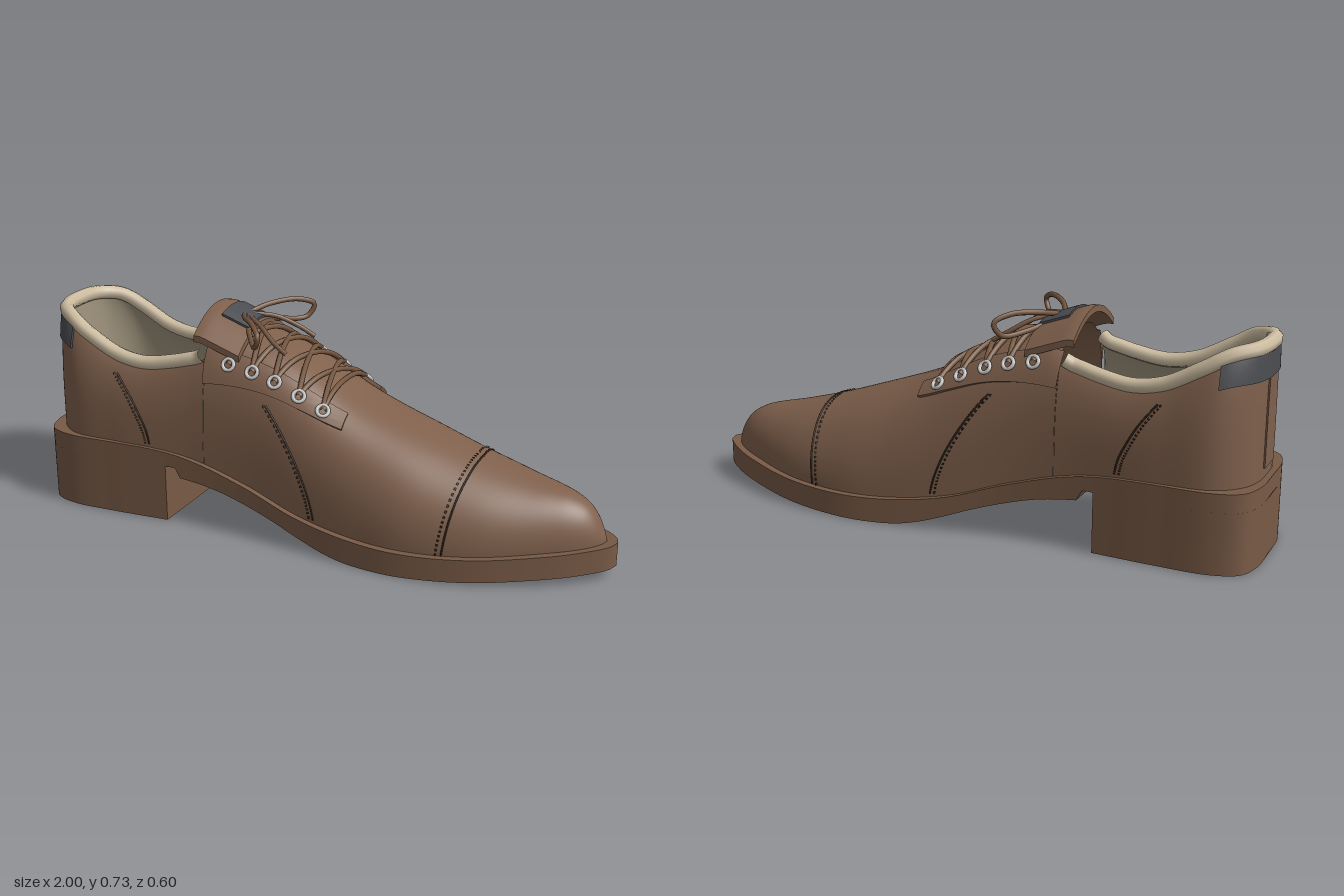
import * as THREE from 'three';
import { mergeGeometries, toCreasedNormals } from 'three/addons/utils/BufferGeometryUtils.js';

const V = (x, y, z) => new THREE.Vector3(x, y, z);
const { lerp, clamp } = THREE.MathUtils;
const mat = (name, color, side = THREE.FrontSide) =>
  Object.assign(new THREE.MeshStandardMaterial({ color, side }), { name });

// Smooth curve through 2D points, running from high x to low x
function smooth(pts) {
  const N = 500;
  const s = new THREE.CatmullRomCurve3(pts.map(p => V(p[0], p[1], 0)), false, 'centripetal').getSpacedPoints(N);
  const at = t => {
    const f = clamp(t, 0, 1) * N, i = Math.min(N - 1, Math.floor(f));
    return s[i].clone().lerp(s[i + 1], f - i);
  };
  const tAt = x => {
    if (x >= s[0].x) return 0;
    for (let i = 0; i < N; i++) if (s[i + 1].x <= x) return (i + (s[i].x - x) / (s[i].x - s[i + 1].x || 1)) / N;
    return 1;
  };
  return { at, tAt, y: x => at(tAt(x)).y };
}

// Plan outlines (x, half width) and side profiles (x, height)
const soleLine = smooth([[1, 0], [0.985, 0.04], [0.9, 0.115], [0.8, 0.175], [0.6, 0.26], [0.38, 0.3], [0.2, 0.29],
  [0, 0.265], [-0.2, 0.243], [-0.45, 0.236], [-0.7, 0.25], [-0.88, 0.25], [-0.965, 0.215], [-0.998, 0.13], [-1, 0]]);
const upperLine = smooth([[0.965, 0], [0.95, 0.035], [0.9, 0.085], [0.8, 0.145], [0.6, 0.235], [0.38, 0.275], [0.2, 0.266],
  [0, 0.243], [-0.2, 0.222], [-0.4, 0.218], [-0.7, 0.235], [-0.87, 0.225], [-0.95, 0.16], [-0.978, 0.08], [-0.982, 0]]);
const soleTop = smooth([[1, 0.115], [0.8, 0.1], [0.6, 0.086], [0.4, 0.08], [0.2, 0.085], [0, 0.115], [-0.2, 0.18],
  [-0.4, 0.235], [-0.55, 0.255], [-1, 0.26]]);
const soleBottom = smooth([[1, 0.035], [0.8, 0.022], [0.5, 0.004], [0.2, 0.001], [0.1, 0.018], [0, 0.05], [-0.1, 0.087],
  [-0.3, 0.145], [-0.46, 0.167], [-1, 0.2]]);
const ridge = smooth([[0.965, 0.114], [0.95, 0.15], [0.93, 0.19], [0.9, 0.225], [0.85, 0.253], [0.8, 0.268], [0.7, 0.29],
  [0.55, 0.33], [0.4, 0.378], [0.2, 0.445], [0.1, 0.487], [0, 0.542], [-0.1, 0.595], [-0.2, 0.633], [-0.3, 0.658], [-0.4, 0.67]]);
const rim = smooth([[-0.3, 0.6], [-0.4, 0.572], [-0.5, 0.546], [-0.6, 0.532], [-0.7, 0.55], [-0.8, 0.6], [-0.9, 0.65], [-0.99, 0.662]]);

// Upper surface: t runs along the outline from toe to heel, v from the welt up
const MOUTH = -0.36;
function point(t, v) {
  const p = upperLine.at(t), x = p.x, back = x < MOUTH;
  const n = lerp(3.2, 2.1, THREE.MathUtils.smoothstep(x, -0.15, 0.55));
  const aMax = back ? Math.acos(Math.pow(0.8, n / 2)) : Math.PI / 2;
  const a = clamp(v, 0, 1) * aMax, base = soleTop.y(x) - 0.005;
  const top = back ? rim.y(x) : ridge.y(x), pw = 2 / n;
  return V(x, base + (top - base) * Math.pow(Math.sin(a) / Math.sin(aMax), pw),
    p.y * Math.pow(Math.max(0, Math.cos(a)), pw));
}
function normal(t, v) {
  const e = 0.004;
  const du = point(Math.min(1, t + e), v).sub(point(Math.max(0, t - e), v));
  const dv = point(t, Math.min(1, v + e)).sub(point(t, Math.max(0, v - e)));
  return dv.cross(du).normalize();
}
function skin(t, v, off = 0, side = 1) {
  const p = point(t, v);
  if (off) p.addScaledVector(normal(t, v), off);
  p.z *= side;
  return p;
}
const skinX = (x, v, off, side) => skin(upperLine.tAt(x), v, off, side);

function grid(fn, nu, nv, flip = false) {
  const pos = [], idx = [];
  for (let i = 0; i <= nu; i++) for (let j = 0; j <= nv; j++) pos.push(...fn(i / nu, j / nv).toArray());
  for (let i = 0; i < nu; i++) for (let j = 0; j < nv; j++) {
    const a = i * (nv + 1) + j, b = a + nv + 1, c = a + 1, d = b + 1;
    idx.push(...(flip ? [a, b, c, c, b, d] : [a, c, b, c, d, b]));
  }
  const g = new THREE.BufferGeometry();
  g.setAttribute('position', new THREE.Float32BufferAttribute(pos, 3));
  g.setIndex(idx);
  g.computeVertexNormals();
  return g;
}
// Raised panel on the upper with edges that drop to the surface
function panel(fn, nu, nv, off, side) {
  const U = nu + 2, W = nv + 2;
  return toCreasedNormals(grid((u, v) => {
    const i = Math.round(u * U), j = Math.round(v * W);
    const edge = i === 0 || j === 0 || i === U || j === W;
    return fn(clamp((i - 1) / nu, 0, 1), clamp((j - 1) / nv, 0, 1), edge ? 0 : off);
  }, U, W, side < 0), 0.7);
}
// Closed slab following the sole outline
function slab(t0, bottom, top, n, capped) {
  return toCreasedNormals(grid((u, v) => {
    const p = soleLine.at(lerp(t0, 1, Math.max(0, (u * n - 1) / (n - 1)))), k = Math.round(v * 4) % 4;
    const lo = bottom(p.x), hi = top(p.x);
    if (u === 0 && capped) return V(p.x, (lo + hi) / 2, 0);
    return V(p.x, k === 1 || k === 2 ? hi : lo, k < 2 ? p.y : -p.y);
  }, n, 4), 0.6);
}
const tube = (pts, r, n = 40, closed = false) =>
  new THREE.TubeGeometry(new THREE.CatmullRomCurve3(pts, closed), n, r, 8, closed);

export function createModel() {
  const shoe = new THREE.Group();
  shoe.name = 'shoe';
  const leather = mat('brown leather', 0x7f604c), inside = mat('open leather', 0x7f604c, THREE.DoubleSide);
  const soleMat = mat('sole brown', 0x785a46), laceMat = mat('lace brown', 0x75563f);
  const lining = mat('beige lining', 0xa2967f, THREE.DoubleSide), collarMat = mat('cream collar', 0xccbca0);
  const tabMat = mat('dark grey', 0x4c4d52), metal = mat('silver', 0xc6c6c6), thread = mat('dark thread', 0x30231b);
  const add = (name, g, m) => {
    const mesh = new THREE.Mesh(g, m);
    mesh.name = name;
    shoe.add(mesh);
    return mesh;
  };

  // Sole and heel block
  add('sole', slab(0, x => (x < -0.46 ? 0.2 : soleBottom.y(x)), x => soleTop.y(x), 120, false), soleMat);
  add('heel', slab(soleLine.tAt(-0.5), () => 0, () => 0.2, 60, true), soleMat);

  // Closed front and open back of the upper
  const tm = upperLine.tAt(MOUTH + 0.0005), tb = upperLine.tAt(MOUTH - 0.0005);
  add('vamp', grid((u, v) => {
    const s = v * 2 - 1;
    return skin(tm * Math.pow(u, 1.3), 1 - Math.pow(Math.abs(s), 0.7) < 0 ? 0 : Math.pow(1 - Math.abs(s), 1.3), 0, s <= 0 ? 1 : -1);
  }, 90, 56), inside);
  const around = (u, v, off) => {
    const s = u * 2 - 1;
    return skin(lerp(1, tb, Math.abs(s)), Math.pow(v, 1.5), off, s <= 0 ? 1 : -1);
  };
  add('quarters', grid((u, v) => around(u, v, 0), 100, 24), leather);
  add('lining', grid((u, v) => around(u, v, -0.014), 100, 24), lining);

  // Padded collar round the opening
  const collar = [];
  for (let i = 0; i <= 40; i++) {
    const p = around(i / 40, 1, -0.012);
    collar.push(p.setY(p.y + 0.014));
  }
  add('collar', tube(collar, 0.025, 110), collarMat);

  // Heel tab and back strip
  const wrap = (x0, v0, v1) => (u, v, off) => {
    const s = u * 2 - 1;
    return skin(lerp(1, upperLine.tAt(x0), Math.abs(s)), lerp(v0, v1, v), off, s <= 0 ? 1 : -1);
  };
  add('heelTab', panel(wrap(-0.87, 0.66, 1), 40, 8, 0.008, 1), tabMat);
  add('backStrip', panel(wrap(-0.981, 0.02, 0.66), 6, 16, 0.005, 1), leather);

  // Seams: a fine ridge with a row of stitches beside it
  const seam = (name, pts, side, shift) => {
    const curve = new THREE.CatmullRomCurve3(pts.map(p => V(p[0], p[1], 0)));
    const path = curve.getPoints(50);
    add(name, tube(path.map(p => skinX(p.x, p.y, 0.001, side)), 0.003, 60), thread);
    const stitches = [];
    for (let i = 0; i < 50; i += 2) {
      const [a, b] = [path[i], path[i + 1]].map(p => skinX(p.x + shift, p.y, 0.002, side));
      stitches.push(new THREE.TubeGeometry(new THREE.LineCurve3(a, b), 1, 0.0035, 5));
    }
    add(name + 'Stitches', mergeGeometries(stitches), thread);
  };

  const eyeletX = [-0.275, -0.19, -0.11, -0.025, 0.058], eyelets = {};
  for (const side of [1, -1]) {
    const label = side > 0 ? 'left' : 'right';
    seam(label + 'ToeCapSeam', [[0.505, 0.01], [0.52, 0.3], [0.54, 0.7], [0.548, 1]], side, -0.018);
    seam(label + 'SideSeam', [[0.06, 0.005], [0.04, 0.06], [0, 0.15], [-0.06, 0.26], [-0.13, 0.37]], side, -0.015);
    seam(label + 'HeelSeam', [[-0.565, 0.01], [-0.575, 0.08], [-0.6, 0.22], [-0.64, 0.46], [-0.69, 0.72]], side, -0.015);

    // Lace facing
    add(label + 'Facing', panel((u, v, off) => skinX(lerp(0.13, MOUTH + 0.004, u),
      lerp(lerp(0.58, 0.33, u), lerp(0.74, 0.62, u), v), off, side), 24, 8, 0.012, side), leather);

    // Eyelets
    eyelets[side] = eyeletX.map(x => {
      const t = upperLine.tAt(x), v = lerp(0.64, 0.5, (0.13 - x) / 0.49), n = normal(t, v);
      n.z *= side;
      const ring = add(label + 'Eyelet', new THREE.TorusGeometry(0.019, 0.0065, 8, 20), metal);
      ring.position.copy(skin(t, v, 0.017, side));
      ring.quaternion.setFromUnitVectors(V(0, 0, 1), n);
      return ring.position;
    });

    // Bow loop and loose end
    add(label + 'BowLoop', tube([[-0.3, 0.7, 0.015], [-0.26, 0.716, 0.09], [-0.19, 0.72, 0.17], [-0.15, 0.695, 0.213],
      [-0.17, 0.655, 0.195], [-0.225, 0.66, 0.12], [-0.29, 0.69, 0.02]].map(p => V(p[0], p[1], p[2] * side)), 0.009, 50), laceMat);
    add(label + 'LaceEnd', tube([V(-0.29, 0.7, 0.01 * side), V(-0.22, 0.685, 0.06 * side),
      V(-0.15, 0.645, 0.1 * side), V(-0.1, 0.615, 0.11 * side)], 0.008), laceMat);
  }

  // Laces arched over the tongue
  const lace = (a, b) => {
    const pts = [];
    for (let i = 0; i <= 8; i++) {
      const p = a.clone().lerp(b, i / 8), k = 1 - Math.pow(Math.abs(i / 4 - 1), 2.4);
      p.y += k * Math.max(0.01, ridge.y((a.x + b.x) / 2) + 0.016 - (a.y + b.y) / 2);
      pts.push(p);
    }
    add('lace', tube(pts, 0.009, 30), laceMat);
  };
  lace(eyelets[1][4], eyelets[-1][4]);
  for (let i = 0; i < 4; i++) for (const s of [1, -1]) lace(eyelets[s][i], eyelets[-s][i + 1]);

  // Tongue flap and its label, both bent over the instep
  const flap = (x0, x1, half, thick, lift) => {
    const g = new THREE.BoxGeometry(x1 - x0, thick, half * 2, 8, 1, 20);
    g.translate((x0 + x1) / 2, 0, 0);
    const p = g.attributes.position;
    for (let i = 0; i < p.count; i++) {
      const x = p.getX(i), z = p.getZ(i);
      p.setY(i, p.getY(i) + lift + 0.722 - 0.35 * Math.max(0, x + 0.38) - 0.075 * (z / 0.18) ** 2);
    }
    return toCreasedNormals(g, 0.6);
  };
  add('tongue', flap(-0.405, -0.24, 0.178, 0.022, 0), leather);
  add('tongueLabel', flap(-0.35, -0.25, 0.08, 0.008, 0.0145), tabMat);
  return shoe;
}
